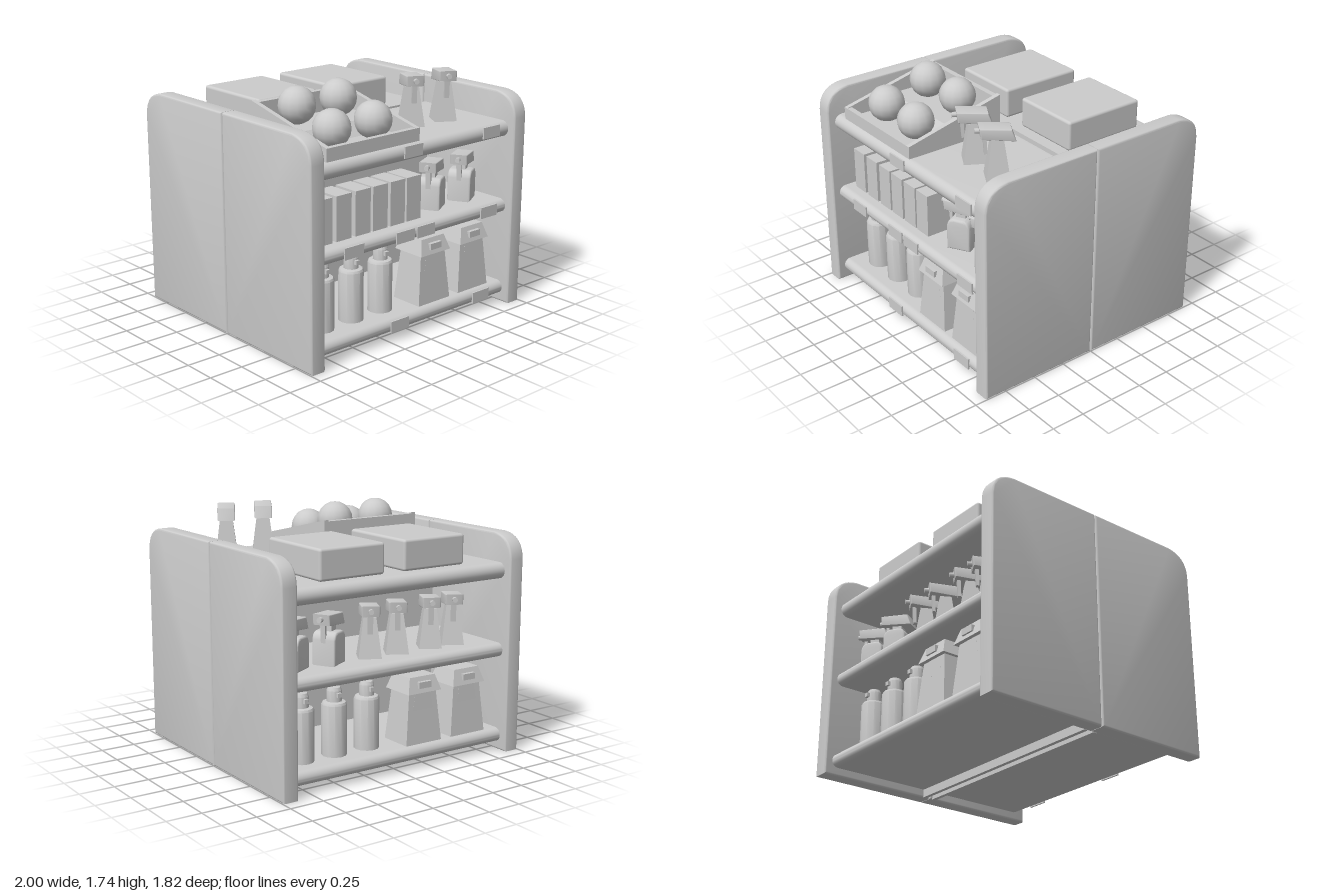
import * as THREE from 'three';
import { toCreasedNormals } from 'three/addons/utils/BufferGeometryUtils.js';
import { RoundedBoxGeometry } from 'three/addons/geometries/RoundedBoxGeometry.js';

const grey = new THREE.MeshStandardMaterial({ color: 0xcccccc });
grey.name = 'plainGrey';

function add(parent, name, geo, x = 0, y = 0, z = 0) {
  const mesh = new THREE.Mesh(geo, grey);
  mesh.name = name;
  mesh.position.set(x, y, z);
  parent.add(mesh);
  return mesh;
}

function group(parent, name, x = 0, y = 0, z = 0, turn = 0) {
  const g = new THREE.Group();
  g.name = name;
  g.position.set(x, y, z);
  g.rotation.y = turn;
  parent.add(g);
  return g;
}

const box = (w, h, d) => new THREE.BoxGeometry(w, h, d);

// Extrudes a side outline, given in (z, y), across x and centres it
function across(shape, width, bevel = 0) {
  const geo = new THREE.ExtrudeGeometry(shape, {
    depth: width - 2 * bevel, bevelEnabled: bevel > 0, bevelThickness: bevel,
    bevelSize: bevel, bevelOffset: -bevel, bevelSegments: 3, curveSegments: 8,
  });
  geo.translate(0, 0, -width / 2 + bevel).rotateY(-Math.PI / 2);
  return toCreasedNormals(geo, 0.6);
}

const outline = (pts) => new THREE.Shape(pts.map(([z, y]) => new THREE.Vector2(z, y)));

// Box standing on y = 0 whose top is scaled in x and z
function tapered(w, h, d, sx, sz) {
  const geo = box(w, h, d).translate(0, h / 2, 0);
  const p = geo.attributes.position;
  for (let i = 0; i < p.count; i++) {
    if (p.getY(i) > h / 2) p.setXYZ(i, p.getX(i) * sx, p.getY(i), p.getZ(i) * sz);
  }
  geo.computeVertexNormals();
  return geo;
}

// Trigger mechanism shared by both kinds of bottle; the nozzle points to +z
function triggerHead(g, y) {
  add(g, 'sprayHead', across(outline([[-0.12, 0], [0.11, 0.025], [0.12, 0.1], [-0.09, 0.085]]), 0.125, 0.008), 0, y, 0);
  const nozzle = new THREE.CylinderGeometry(0.018, 0.018, 0.035, 10).rotateX(Math.PI / 2);
  add(g, 'nozzle', nozzle, 0, y + 0.065, 0.13);
  add(g, 'trigger', across(outline([[0.07, 0.03], [0.095, 0.03], [0.085, -0.1], [0.065, -0.1]]), 0.035), 0, y, 0);
}

function sprayBottle(parent, x, y, z) {
  const g = group(parent, 'sprayBottle', x, y, z, -0.52);
  add(g, 'bottleBody', tapered(0.16, 0.28, 0.16, 0.55, 0.5));
  triggerHead(g, 0.272);
}

function squatBottle(parent, x, y, z) {
  const g = group(parent, 'squatBottle', x, y, z, -1.05);
  const s = outline([[-0.085, 0], [0.085, 0], [0.085, 0.175]]);
  s.quadraticCurveTo(0.075, 0.228, 0.03, 0.228);
  s.lineTo(-0.03, 0.228);
  s.quadraticCurveTo(-0.075, 0.228, -0.085, 0.175);
  add(g, 'bottleBody', across(s, 0.17, 0.015));
  add(g, 'neck', box(0.07, 0.07, 0.07), 0, 0.25, 0);
  triggerHead(g, 0.255);
}

function pumpCan(parent, x, y, z) {
  const g = group(parent, 'pumpCan', x, y, z);
  const pts = [[0, 0], [0.088, 0], [0.088, 0.355], [0.08, 0.37], [0.052, 0.375], [0.052, 0.45], [0.042, 0.472], [0, 0.475]];
  const geo = new THREE.LatheGeometry(pts.map(([r, h]) => new THREE.Vector2(r, h)), 12);
  add(g, 'canBody', toCreasedNormals(geo, 0.6));
  add(g, 'canNozzle', box(0.03, 0.03, 0.03), 0, 0.425, 0.055);
}

function jug(parent, x, y, z) {
  const g = group(parent, 'jug', x, y, z);
  add(g, 'jugBody', tapered(0.305, 0.37, 0.25, 0.76, 0.8));
  add(g, 'jugLid', tapered(0.285, 0.11, 0.26, 0.76, 0.74), 0, 0.365, 0);
  add(g, 'lidLatch', box(0.105, 0.045, 0.03), 0, 0.42, 0.118);
  // Front flap lying on the sloping body
  const flap = outline([[-0.062, 0.37], [-0.085, 0.235], [0.085, 0.235], [0.062, 0.37]].reverse());
  const geo = new THREE.ExtrudeGeometry(flap, { depth: 0.02, bevelEnabled: false });
  add(g, 'frontFlap', geo, 0, 0.005, 0.103).rotation.x = -0.06;
}

function tray(parent) {
  const g = group(parent, 'ballTray', -0.38);
  const side = across(outline([[0.055, 1.37], [0.82, 1.37], [0.82, 1.46], [0.055, 1.637]]), 0.035);
  for (const s of [-1, 1]) add(g, 'traySide', side, s * 0.3925, 0, 0);
  add(g, 'trayFront', box(0.75, 0.09, 0.04), 0, 1.415, 0.8);
  add(g, 'trayBack', box(0.75, 0.257, 0.04), 0, 1.4985, 0.075);
  add(g, 'steppedFloor', across(outline([[0.06, 1.372], [0.81, 1.372], [0.81, 1.39], [0.52, 1.39], [0.44, 1.477], [0.06, 1.477]]), 0.75));
  const ball = new THREE.SphereGeometry(0.131, 14, 10);
  for (const x of [-0.183, 0.182]) {
    add(g, 'ball', ball, x, 1.607, 0.255);
    add(g, 'ball', ball, x, 1.515, 0.608);
  }
}

// One half of the display: side panels, back panel and three shelves
function shelfUnit(parent, name, turn) {
  const g = group(parent, name, 0, 0, 0, turn);
  const s = new THREE.Shape();
  s.moveTo(0.002, 0);
  s.lineTo(0.912, 0);
  s.lineTo(0.912, 1.4);
  s.quadraticCurveTo(0.905, 1.56, 0.73, 1.577);
  s.lineTo(0.002, 1.577);
  const panel = across(s, 0.12, 0.015);
  // Keep the meeting edge and the foot square to the next panel
  for (const side of [-1, 1]) add(g, 'sidePanel', panel, side * 0.94, 0, 0);
  add(g, 'backPanel', box(1.77, 1.35, 0.03), 0, 0.675, 0.04);
  for (const [y, h] of [[0.06, 0.1], [0.69, 0.1], [1.255, 0.115]]) {
    const r = h / 2;
    const p = new THREE.Shape();
    p.moveTo(0.022, y);
    p.lineTo(0.855 - r, y);
    p.absarc(0.855 - r, y + r, r, -Math.PI / 2, Math.PI / 2, false);
    p.lineTo(0.022, y + h);
    add(g, 'shelf', across(p, 1.77));
  }
  // Stock on the lowest shelf
  for (const x of [-0.692, -0.428, -0.16]) pumpCan(g, x, 0.16, 0.65);
  for (const x of [0.222, 0.615]) jug(g, x, 0.16, 0.68);
  return g;
}

export function createModel() {
  const model = new THREE.Group();
  model.name = 'displayShelves';

  // Front half
  const front = shelfUnit(model, 'frontUnit', 0);
  for (const x of [-0.748, -0.581, -0.412, -0.256, -0.096, 0.056]) {
    add(front, 'carton', box(0.134, 0.312, 0.2), x, 0.946, 0.65);
  }
  for (const x of [0.355, 0.665]) squatBottle(front, x, 0.79, 0.62);
  tray(front);
  sprayBottle(front, 0.29, 1.37, 0.47);
  sprayBottle(front, 0.58, 1.37, 0.5);
  for (const [y, xs] of [[0.11, [-0.165, 0.645]], [0.74, [-0.588, -0.125, 0.068, 0.7]], [1.325, [-0.062, 0.7]]]) {
    for (const x of xs) add(front, 'priceTag', box(0.166, 0.082, 0.012), x, y, 0.858);
  }

  // Back half, turned to face the other way
  const back = shelfUnit(model, 'backUnit', Math.PI);
  for (const x of [-0.74, -0.45]) squatBottle(back, x, 0.79, 0.62);
  for (const x of [-0.12, 0.11, 0.4, 0.6]) sprayBottle(back, x, 0.79, 0.62);
  for (const x of [-0.333, 0.35]) {
    add(back, 'topBox', new RoundedBoxGeometry(0.523, 0.217, 0.63, 3, 0.02), x, 1.478, 0.415);
  }
  return model;
}
